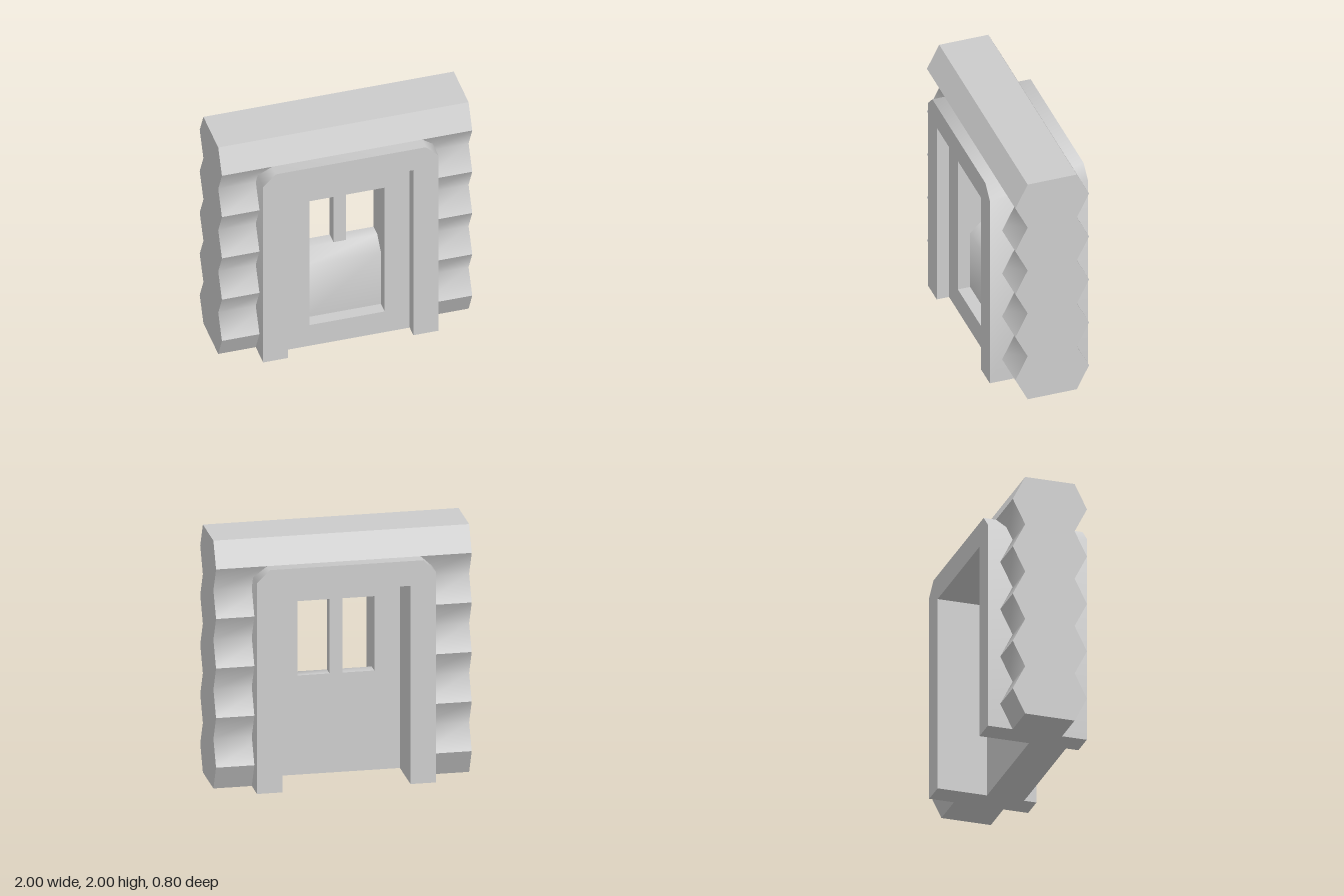
import * as THREE from 'three';
import { toCreasedNormals } from 'three/addons/utils/BufferGeometryUtils.js';

const CREASE = 1; // radians: log valleys and small chamfers shade smoothly

export function createModel() {
  const group = new THREE.Group();
  const material = new THREE.MeshStandardMaterial({ color: 0xcccccc });

  const add = (name, geometry) => {
    const mesh = new THREE.Mesh(toCreasedNormals(geometry, CREASE), material);
    mesh.name = name;
    group.add(mesh);
  };
  const outline = (points) => new THREE.Shape(points.map(([x, y]) => new THREE.Vector2(x, y)));

  // Upright outline in x/y, extruded from z0 to z1
  const slab = (shape, z0, z1) =>
    new THREE.ExtrudeGeometry(shape, { depth: z1 - z0, bevelEnabled: false }).translate(0, 0, z0);

  // Cross-section given as [z, y], extruded from x0 to x1
  const beam = (section, x0, x1) =>
    new THREE.ExtrudeGeometry(outline(section.map(([z, y]) => [-z, y])), { depth: x1 - x0, bevelEnabled: false })
      .rotateY(Math.PI / 2)
      .translate(x0, 0, 0);

  // Section symmetric in z from a list of [halfDepth, y]
  const mirrored = (half) => [...half, ...half.map(([z, y]) => [-z, y]).reverse()];

  // Log wall beside the doorway
  for (const [side, x0, x1] of [['left', 0.6, 1], ['right', -1, -0.6]]) {
    add(side + 'WallFoot', beam(mirrored([[0.2, 0], [0.3, 0.2]]), x0, x1));
    for (let i = 0; i < 4; i++) {
      const y = 0.2 + 0.4 * i;
      add(side + 'WallCourse' + (i + 1), beam(mirrored([[0.3, y], [0.2, y + 0.2], [0.3, y + 0.4]]), x0, x1));
    }
  }

  // Full-width log over the doorway
  add('topLog', beam(mirrored([[0.3, 1.8], [0.2, 2]]), -1, 1));

  // Door frame through the wall, with clipped upper corners
  add('doorFrame', slab(outline([
    [-0.7, 0], [-0.5, 0], [-0.5, 1.6], [0.5, 1.6], [0.5, 0], [0.7, 0],
    [0.7, 1.7], [0.6, 1.8], [-0.6, 1.8], [-0.7, 1.7],
  ]), -0.4, 0.4));

  // Door leaf with its recessed opening
  const leaf = outline([[-0.5, 0], [0.5, 0], [0.5, 1.6], [-0.5, 1.6]]);
  leaf.holes.push(outline([[-0.3, 0.2], [-0.3, 1.4], [0.3, 1.4], [0.3, 0.2]]));
  add('doorLeaf', slab(leaf, 0, 0.3));

  // Lower panel with a softened front edge at the sill
  add('doorPanel', beam([[0, 0.2], [0.2, 0.2], [0.2, 0.7], [0.1, 0.8], [0, 0.8]], -0.3, 0.3));

  // Upright bar in the window
  add('windowBar', new THREE.BoxGeometry(0.1, 0.6, 0.1).translate(0, 1.1, 0.05));

  return group;
}
